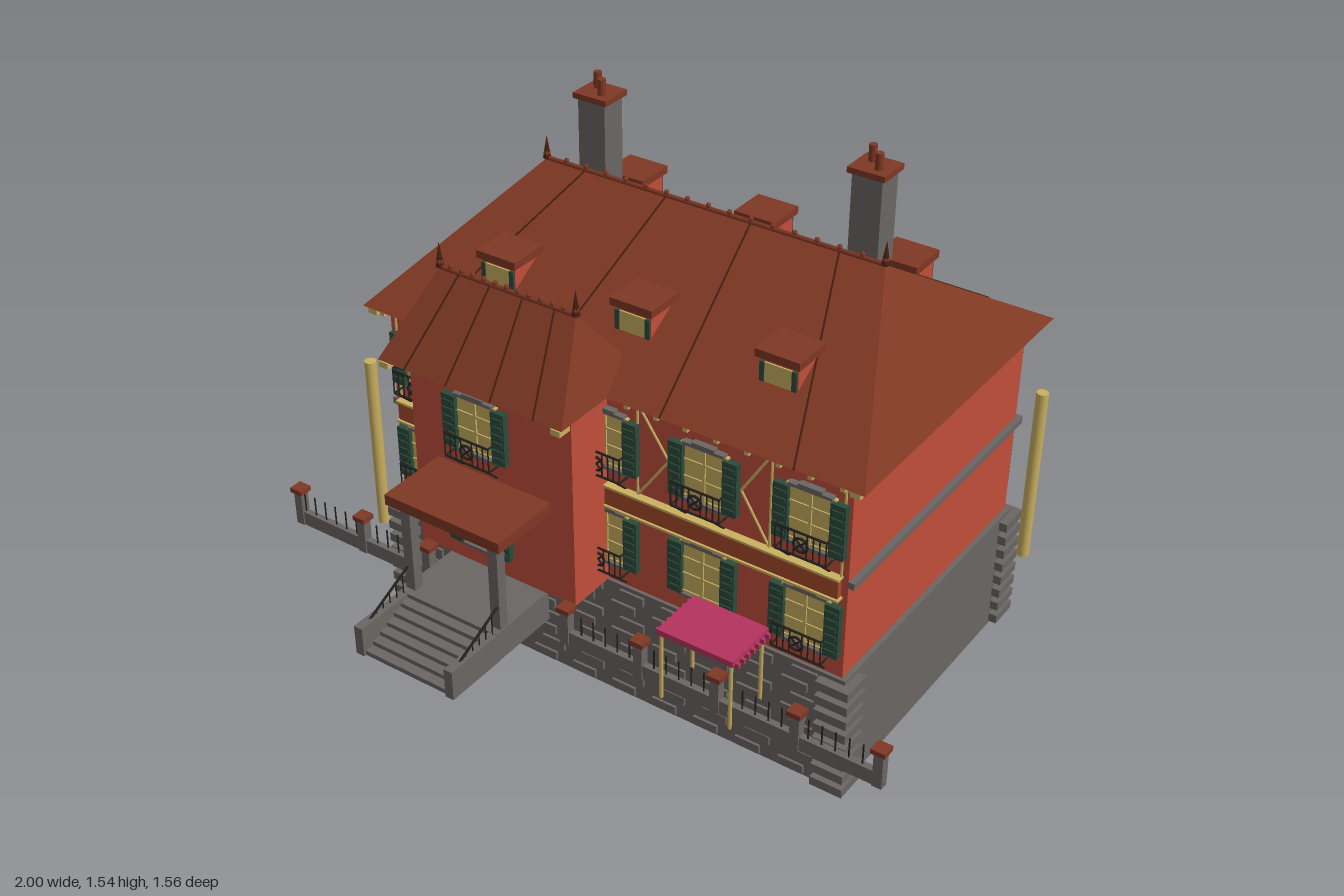
import * as THREE from 'three';

const mat = (name, color, side = THREE.FrontSide) => {
  const m = new THREE.MeshStandardMaterial({ color, side });
  m.name = name;
  return m;
};

export function createModel() {
  const model = new THREE.Group();
  model.name = 'villa';
  const wall = mat('red wall', 0xc24e3a), stone = mat('grey stone', 0x6a6663);
  const tile = mat('roof tile', 0x7f3824), seam = mat('dark seam', 0x47200f);
  const gold = mat('pale gold', 0xcbb060), green = mat('shutter green', 0x2b4a3a);
  const iron = mat('black iron', 0x24221f), pink = mat('awning pink', 0xb5335f);
  const brick = mat('brick band', 0xa54a2a);

  const add = (parent, geo, m, name) => {
    const mesh = new THREE.Mesh(geo, m);
    mesh.name = name;
    parent.add(mesh);
    return mesh;
  };
  // Box given by its lower and upper limits
  const box = (p, name, m, x0, x1, y0, y1, z0, z1) => {
    const b = add(p, new THREE.BoxGeometry(x1 - x0, y1 - y0, z1 - z0), m, name);
    b.position.set((x0 + x1) / 2, (y0 + y1) / 2, (z0 + z1) / 2);
    return b;
  };
  // Thin bar between two points
  const bar = (p, name, m, a, b, r) => {
    const A = new THREE.Vector3(...a), B = new THREE.Vector3(...b);
    const d = B.clone().sub(A);
    const c = add(p, new THREE.CylinderGeometry(r, r, d.length(), 5), m, name);
    c.position.copy(A).add(B).multiplyScalar(0.5);
    c.quaternion.setFromUnitVectors(new THREE.Vector3(0, 1, 0), d.normalize());
    return c;
  };
  const group = (name, x = 0, y = 0, z = 0, parent = model) => {
    const g = new THREE.Group();
    g.name = name;
    g.position.set(x, y, z);
    parent.add(g);
    return g;
  };

  // Hipped roof with fanned seams, ridge knobs and finials
  const hipRoof = (name, x0, x1, z0, z1, y, rx0, rx1, rz, ry, seams, knobs, spike) => {
    const g = group(name);
    const a = [x0, y, z1], b = [x1, y, z1], c = [x1, y, z0], d = [x0, y, z0];
    const l = [rx0, ry, rz], r = [rx1, ry, rz];
    const tris = [a, b, r, a, r, l, b, c, r, c, d, l, c, l, r, d, a, l, a, d, c, a, c, b];
    const geo = new THREE.BufferGeometry();
    geo.setAttribute('position', new THREE.Float32BufferAttribute(tris.flat(), 3));
    geo.computeVertexNormals();
    add(g, geo, tile, 'roofSlopes');
    for (const t of seams) for (const z of [z0, z1])
      bar(g, 'roofSeam', seam, [x0 + (x1 - x0) * t, y, z], [rx0 + (rx1 - rx0) * t, ry, rz], 0.003);
    bar(g, 'ridgeCap', tile, l, r, 0.008);
    for (let i = 1; i < knobs; i++) {
      const k = add(g, new THREE.SphereGeometry(0.008, 6, 5), tile, 'ridgeKnob');
      k.position.set(rx0 + (rx1 - rx0) * i / knobs, ry + 0.01, rz);
    }
    for (const x of [rx0, rx1]) {
      const f = add(g, new THREE.ConeGeometry(0.012, spike, 6), seam, 'finial');
      f.position.set(x, ry + spike / 2, rz);
      const s = add(g, new THREE.SphereGeometry(0.011, 6, 5), tile, 'finialBall');
      s.position.set(x, ry + 0.015, rz);
    }
  };

  // Stone base with toothed corners and face blocks
  box(model, 'stoneBase', stone, -0.765, 0.765, 0, 0.385, -0.735, 0.22);
  for (let i = 0; i < 8; i++) {
    const y = 0.008 + i * 0.048;
    for (const s of [-1, 1]) for (const z of [-0.71, 0.2]) {
      const c = box(model, 'cornerBlock', stone, -0.05, 0.05, y, y + 0.028, -0.048, 0.048);
      c.position.x = s * 0.74;
      c.position.z = z;
    }
    for (let k = 0; k < 10; k++) {
      const x = -0.63 + k * 0.14 + (i % 2 ? 0.015 : -0.015);
      for (const z of [-0.735, 0.22])
        box(model, 'faceBlock', stone, x - 0.04, x + 0.04, y, y + 0.028, z - 0.008, z + 0.008);
    }
  }

  // Walls, front bay and bands between the storeys
  box(model, 'mainWalls', wall, -0.75, 0.75, 0.385, 1.015, -0.725, 0.21);
  box(model, 'frontBay', wall, -0.545, 0, 0.385, 1.015, 0.2, 0.368);
  for (const s of [-1, 1]) {
    const b = box(model, 'sideBelt', stone, -0.01, 0.01, 0.68, 0.7, -0.735, 0.21);
    b.position.x = s * 0.757;
    const e = box(model, 'eaveBoard', gold, -0.015, 0.015, 0.995, 1.015, -0.775, 0.255);
    e.position.x = s * 0.775;
  }
  box(model, 'backBelt', stone, -0.765, 0.765, 0.68, 0.7, -0.74, -0.72);
  box(model, 'brickBand', brick, -0.73, 0.73, 0.645, 0.705, 0.2, 0.228);
  for (const y of [0.64, 0.706]) box(model, 'bandTrim', gold, -0.735, 0.735, y, y + 0.007, 0.2, 0.235);
  for (const x of [-0.56, 0.015]) box(model, 'bayEaveBoard', gold, x - 0.015, x + 0.015, 0.995, 1.013, 0.41, 0.455);
  for (let i = 0; i <= 16; i++) for (const z of [-0.75, 0.235]) {
    const x = -0.74 + i * 0.0925;
    if (z < 0 || x < -0.56 || x > 0.02)
      box(model, 'eaveBracket', gold, x - 0.007, x + 0.007, 1.0, 1.015, z - 0.025, z + 0.02);
  }

  // Half-timbering on the upper storey
  for (const z of [-0.728, 0.213]) {
    box(model, 'timberRail', gold, -0.73, 0.73, 0.985, 0.992, z - 0.004, z + 0.004);
    for (const s of [-1, 1]) {
      bar(model, 'timberPost', gold, [s * 0.73, 0.71, z], [s * 0.73, 1, z], 0.004);
      for (const [post, tip] of [[0.1, 0.2], [0.515, 0.425]]) {
        bar(model, 'timberPost', gold, [s * post, 0.71, z], [s * post, 1, z], 0.004);
        for (const y of [0.71, 1]) bar(model, 'timberBrace', gold, [s * post, y, z], [s * tip, 0.855, z], 0.004);
      }
    }
  }

  // Main and bay roofs
  hipRoof('mainRoof', -0.805, 0.805, -0.78, 0.26, 1.015, -0.545, 0.545, -0.26, 1.335, [0.125, 0.375, 0.625, 0.875], 16, 0.07);
  hipRoof('bayRoof', -0.58, 0.035, 0.09, 0.453, 1.015, -0.5, -0.05, 0.27, 1.24, [0.15, 0.38, 0.62, 0.85], 12, 0.075);

  // Iron balcony, drawn from its floor level upwards
  const balcony = (p, y) => {
    const g = group('balcony', 0, y, 0, p), w = 0.075, d = 0.053;
    for (const h of [0, 0.075]) {
      bar(g, 'frontRail', iron, [-w, h, d], [w, h, d], 0.0035);
      for (const s of [-w, w]) bar(g, 'sideRail', iron, [s, h, 0], [s, h, d], 0.003);
    }
    for (let i = 0; i < 9; i++) {
      const x = -w + i * w / 4;
      if (i !== 4) bar(g, 'baluster', iron, [x, 0, d], [x, 0.075, d], 0.0022);
    }
    const ring = add(g, new THREE.TorusGeometry(0.021, 0.004, 5, 12), iron, 'railRing');
    ring.position.set(0, 0.037, d);
    for (const s of [-1, 1]) {
      bar(g, 'railCross', iron, [-0.02, 0.037 - s * 0.02, d], [0.02, 0.037 + s * 0.02, d], 0.003);
      bar(g, 'bracket', iron, [s * 0.06, -0.05, 0.002], [s * 0.06, 0, d], 0.003);
    }
  };

  // Window with mullions, shutters and lintel; local +z faces outwards
  const windowUnit = (x, y, z, back, rail) => {
    const g = group('window', x, y, z);
    if (back) g.rotation.y = Math.PI;
    box(g, 'pane', gold, -0.072, 0.072, 0, 0.17, 0, 0.008);
    for (const mx of [-0.069, 0, 0.069]) box(g, 'mullion', gold, mx - 0.004, mx + 0.004, 0, 0.17, 0, 0.013);
    for (const my of [0.005, 0.065, 0.118]) box(g, 'glazingBar', gold, -0.07, 0.07, my - 0.003, my + 0.003, 0, 0.012);
    box(g, 'lintel', stone, -0.065, 0.065, 0.168, 0.177, 0, 0.02);
    box(g, 'keystone', stone, -0.035, 0.035, 0.176, 0.184, 0, 0.02);
    box(g, 'sill', stone, -0.075, 0.075, -0.01, 0, 0, 0.018);
    for (const s of [-1, 1]) {
      const sh = group('shutter', s * 0.084, 0.08, 0.013, g);
      box(sh, 'shutterPanel', green, -0.022, 0.022, -0.08, 0.085, -0.011, 0.009);
      for (let i = 0; i < 6; i++)
        box(sh, 'slat', green, -0.017, 0.017, -0.068 + i * 0.025, -0.056 + i * 0.025, 0, 0.013);
    }
    if (rail) balcony(g, -0.01);
  };
  [-0.635, -0.315, 0, 0.315, 0.635].forEach((x, i) => {
    const z = i === 1 ? 0.368 : 0.21;
    windowUnit(x, 0.772, z, false, true);
    windowUnit(x, 0.455, z, false, i % 2 === 0);
    windowUnit(x, 0.772, -0.725, true, true);
    windowUnit(x, 0.455, -0.725, true, false);
  });

  // Roof dormers, front and back
  for (const x of [-0.45, 0, 0.45]) for (const back of [false, true]) {
    const g = group('dormer', x, 0, -0.26);
    if (back) g.rotation.y = Math.PI;
    box(g, 'dormerBody', wall, -0.057, 0.057, 1.09, 1.19, 0.22, 0.35);
    box(g, 'dormerPane', gold, -0.042, 0.042, 1.117, 1.175, 0.35, 0.355);
    for (const s of [-1, 1]) box(g, 'dormerShutter', green, s * 0.048 - 0.007, s * 0.048 + 0.007, 1.117, 1.175, 0.35, 0.357);
    box(g, 'dormerCap', tile, -0.067, 0.067, 1.187, 1.21, 0.235, 0.362);
  }

  // Chimneys
  for (const [x, z] of [[-0.483, -0.43], [0.388, -0.465]]) {
    const g = group('chimney', x, 0, z);
    box(g, 'stack', stone, -0.046, 0.046, 1.12, 1.475, -0.042, 0.042);
    box(g, 'chimneyCap', tile, -0.057, 0.057, 1.475, 1.492, -0.052, 0.052);
    for (const s of [-0.02, 0.02]) {
      const pot = add(g, new THREE.CylinderGeometry(0.012, 0.012, 0.05, 8), tile, 'chimneyPot');
      pot.position.set(s, 1.515, s * 0.9);
    }
  }

  // Porch with steps, columns and handrails
  const porch = group('porch', -0.27, 0, 0);
  box(porch, 'landing', stone, -0.17, 0.17, 0.29, 0.385, 0.36, 0.59);
  for (let i = 0; i < 6; i++)
    box(porch, 'step', stone, -0.145, 0.145, 0.29, 0.372 - i * 0.0135, 0.59 + i * 0.03, 0.62 + i * 0.03);
  for (const s of [-1, 1]) {
    const ch = box(porch, 'stepSide', stone, -0.014, 0.014, 0.29, 0.383, 0.58, 0.778);
    ch.position.x = s * 0.157;
    box(porch, 'column', stone, s * 0.15 - 0.016, s * 0.15 + 0.016, 0.385, 0.666, 0.535, 0.567);
    bar(porch, 'handrail', iron, [s * 0.157, 0.46, 0.56], [s * 0.157, 0.38, 0.73], 0.004);
    for (let i = 0; i < 5; i++) {
      const z = 0.59 + i * 0.028;
      bar(porch, 'railPost', iron, [s * 0.157, 0.38, z], [s * 0.157, 0.46 - (z - 0.56) * 0.47, z], 0.002);
    }
  }
  box(porch, 'porchRoof', tile, -0.195, 0.195, 0.667, 0.7, 0.36, 0.592);

  // Garden wall with posts and pickets, open at the porch
  for (const [x0, x1] of [[-0.995, -0.455], [-0.02, 0.995]]) {
    box(model, 'gardenWall', stone, x0, x1, 0.288, 0.333, 0.4, 0.42);
    for (let x = x0 + 0.03; x < x1; x += 0.04) bar(model, 'picket', iron, [x, 0.33, 0.41], [x, 0.395, 0.41], 0.0025);
  }
  for (let i = 0; i < 9; i++) {
    if (i === 3) continue;
    const x = -0.98 + i * 0.245;
    box(model, 'wallPost', stone, x - 0.014, x + 0.014, 0.288, 0.398, 0.396, 0.424);
    box(model, 'postCap', tile, x - 0.021, x + 0.021, 0.398, 0.413, 0.389, 0.431);
  }

  // Canopy on four legs with a fringe
  box(model, 'canopy', pink, 0.332, 0.566, 0.5, 0.518, 0.285, 0.457);
  for (const x of [0.342, 0.558]) for (const z of [0.303, 0.45])
    bar(model, 'canopyLeg', gold, [x, 0.288, z], [x, 0.502, z], 0.006);
  for (let i = 0; i < 7; i++) for (const x of [0.328, 0.57])
    box(model, 'fringe', pink, x - 0.008, x + 0.008, 0.493, 0.508, 0.292 + i * 0.024, 0.302 + i * 0.024);

  // Free-standing gold posts at three corners
  for (const [x, z] of [[-0.825, -0.718], [0.825, -0.718], [-0.825, 0.23]]) {
    const p = add(model, new THREE.CylinderGeometry(0.018, 0.018, 0.562, 10), gold, 'cornerPost');
    p.position.set(x, 0.531, z);
  }
  return model;
}
